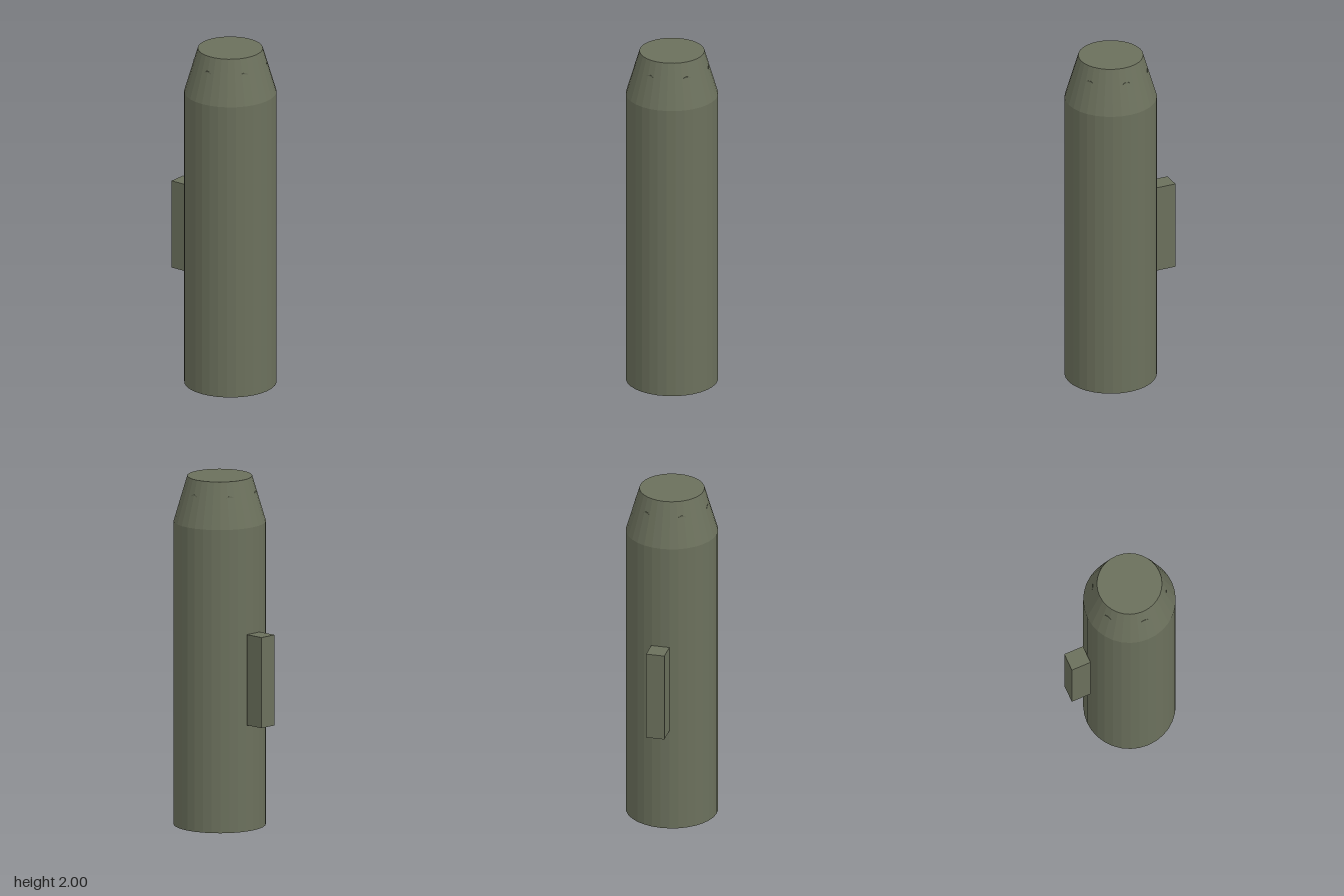
import * as THREE from 'three';

const BODY_Z = 0.0575;

export function createModel() {
  const model = new THREE.Group();
  const material = new THREE.MeshStandardMaterial({ color: 0x6b705c, flatShading: true });

  const add = (parent, name, geometry, x, y, z) => {
    const mesh = new THREE.Mesh(geometry, material);
    mesh.name = name;
    mesh.position.set(x, y, z);
    parent.add(mesh);
    return mesh;
  };

  // Straight barrel and tapered shoulder; the facing caps are left out at the seam
  const body = new THREE.Group();
  body.name = 'body';
  body.position.z = BODY_Z;
  model.add(body);
  const profile = [[0, 0], [0.26, 0], [0.26, 1.74], [0.183, 2], [0, 2]];
  const shell = new THREE.LatheGeometry(profile.map(([r, y]) => new THREE.Vector2(r, y)), 32);
  add(body, 'shell', shell, 0, 0, 0);

  // Six radial vent plugs, sunk so only their upper rims break the taper
  for (let i = 0; i < 6; i++) {
    const vent = new THREE.Group();
    vent.name = 'vent';
    vent.rotation.y = i * Math.PI / 3;
    body.add(vent);
    const plug = add(vent, 'ventPlug', new THREE.CylinderGeometry(0.031, 0.031, 0.04, 16), 0.188, 1.89, 0);
    plug.rotation.z = Math.PI / 2;
  }

  // Mounting block on the back
  add(model, 'mountBlock', new THREE.BoxGeometry(0.105, 0.52, 0.115), 0, 0.872, -0.2625);

  return model;
}
